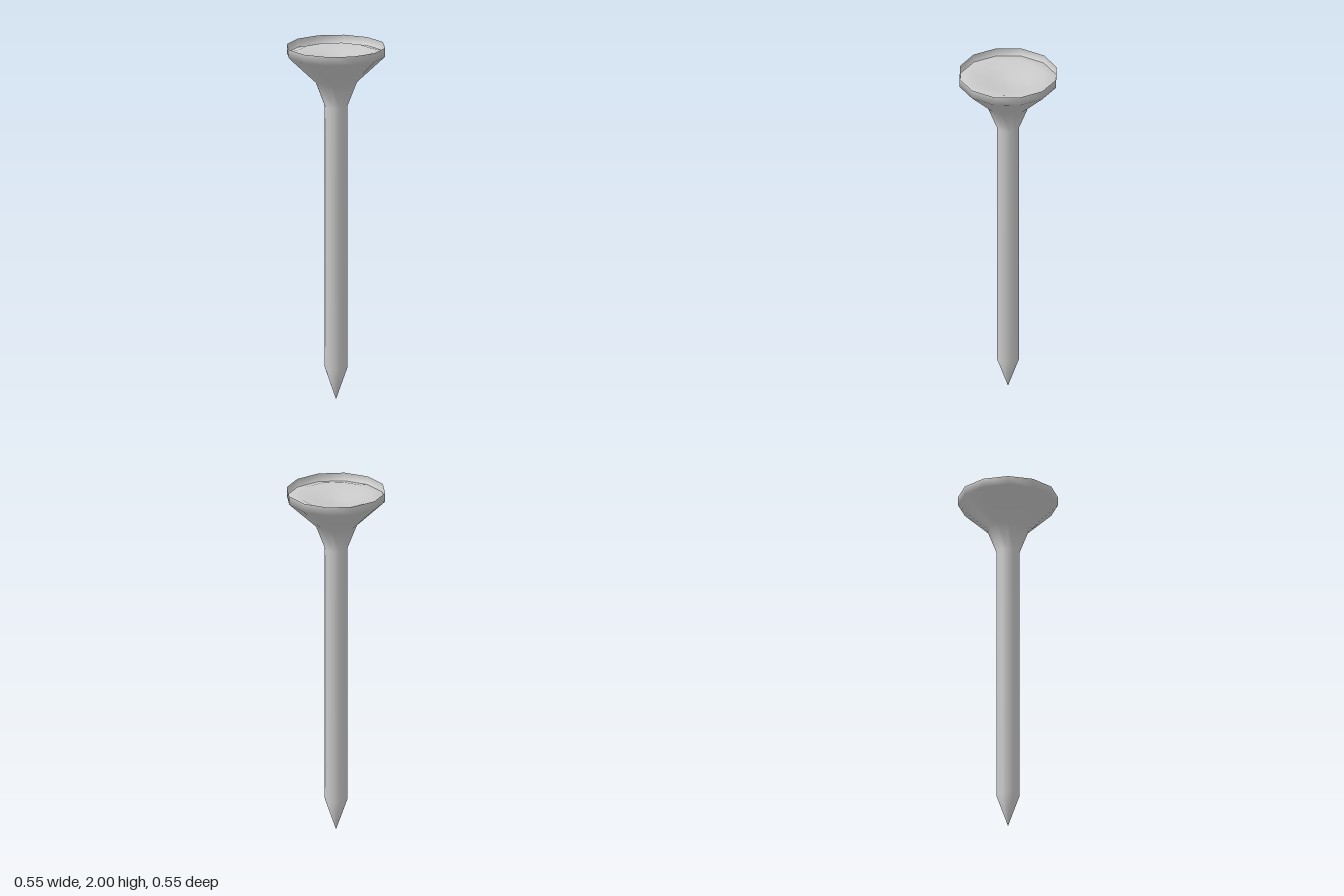
import * as THREE from 'three';

export function createModel() {
  const model = new THREE.Group();
  model.name = 'tee';
  const material = new THREE.MeshStandardMaterial({ color: 0xcccccc, side: THREE.DoubleSide });

  // Each part is a turned profile of [radius, height] points, running up the outside
  const turn = (name, profile) => {
    const points = profile.map(([r, y]) => new THREE.Vector2(r, y));
    const geometry = new THREE.LatheGeometry(points, 12);
    geometry.normalizeNormals();
    const mesh = new THREE.Mesh(geometry, material);
    mesh.name = name;
    model.add(mesh);
  };

  // Pointed tip, straight shaft, flared neck and thin upright rim
  turn('shaftAndFlare', [
    [0, 0], [0.063, 0.18], [0.063, 1.66], [0.117, 1.8], [0.275, 1.95], [0.275, 2],
  ]);

  // Seat inside the rim: a low rounded ring around a shallow dish
  turn('seat', [[0.273, 1.953], [0.205, 1.971], [0.12, 1.946], [0, 1.937]]);

  return model;
}
